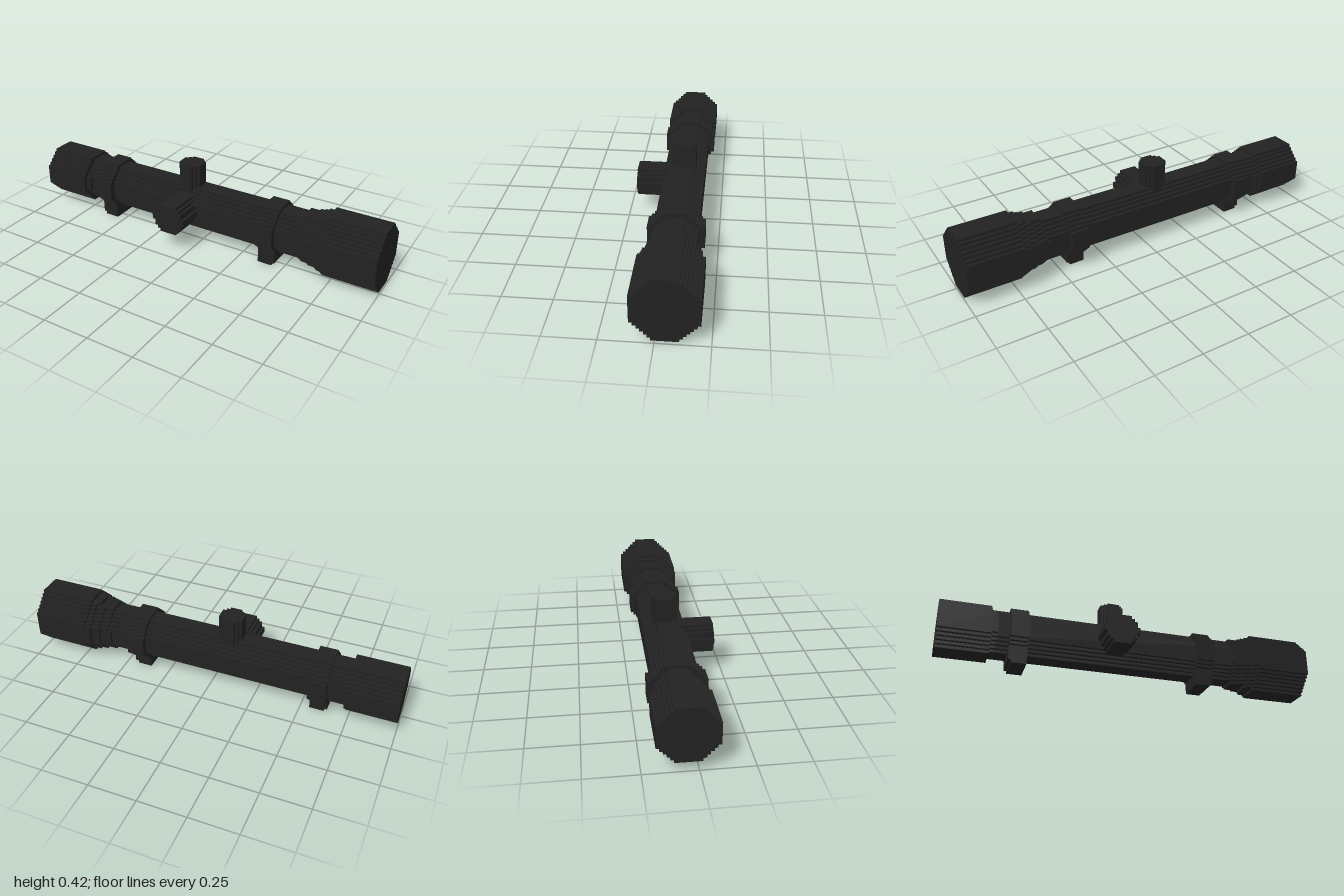
import * as THREE from 'three';

const U = 1 / 64; // one block of the stepped grid
const AXIS_Y = 11.5, AXIS_Z = -3; // tube axis, in blocks

// Corners of a stepped octagon quadrant, from top to side
function octagon(hw, hh, steps) {
  return Array.from({ length: steps + 1 }, (_, i) => [hw - steps + i, hh - i]);
}

// Mirror the quadrant corners into a closed staircase outline
function steppedShape(corners) {
  const q = [];
  for (let i = corners.length - 1; i >= 0; i--) {
    const [x, y] = corners[i];
    q.push([x, y]);
    if (i > 0) q.push([corners[i - 1][0], y]);
  }
  const r = [...q].reverse();
  const pts = [
    ...q,
    ...r.map(([x, y]) => [-x, y]),
    ...q.map(([x, y]) => [-x, -y]),
    ...r.map(([x, y]) => [x, -y]),
  ];
  return new THREE.Shape(pts.map(([x, y]) => new THREE.Vector2(x, y)));
}

function prism(corners, from, to) {
  const g = new THREE.ExtrudeGeometry(steppedShape(corners), { depth: to - from, bevelEnabled: false });
  return g.translate(0, 0, from);
}

export function createModel() {
  const black = new THREE.MeshStandardMaterial({ color: 0x222222 });
  black.name = 'matte black';
  const scope = new THREE.Group();
  scope.name = 'scope';
  scope.scale.setScalar(U);

  function add(name, geometry) {
    const mesh = new THREE.Mesh(geometry, black);
    mesh.name = name;
    scope.add(mesh);
  }

  // Sections along the tube: name, x start, x end, half width, half height, corner steps
  const sections = [
    ['eyepiece', -64, -47, 9, 8.5, 5],
    ['eyepieceCollar', -47, -45, 8, 7.5, 5],
    ['mainTube', -45, 36, 7, 7.5, 4],
    ['rearRing', -41, -35, 9, 8.5, 5],
    ['frontRing', 23, 29, 9, 8.5, 5],
    ['bellTaper1', 36, 37, 8, 7.5, 5],
    ['bellTaper2', 37, 40, 8, 8.5, 5],
    ['bellTaper3', 40, 42, 9, 8.5, 5],
    ['bellTaper4', 42, 43, 9, 9.5, 6],
    ['bellTaper5', 43, 45, 10, 9.5, 6],
    ['objectiveBell', 45, 64, 10, 10.5, 6],
  ];
  for (const [name, x0, x1, hw, hh, steps] of sections) {
    add(name, prism(octagon(hw, hh, steps), x0, x1).rotateY(Math.PI / 2).translate(0, AXIS_Y, AXIS_Z));
  }

  // Mounting feet below the rings: upper block and narrower sole
  for (const [name, x0, x1, s0, s1] of [['rearFoot', -41, -35, -40, -35], ['frontFoot', 23, 29, 23, 28]]) {
    add(name, new THREE.BoxGeometry(x1 - x0, 4, 10).translate((x0 + x1) / 2, 3, -2));
    add(name + 'Sole', new THREE.BoxGeometry(s1 - s0, 1, 10).translate((s0 + s1) / 2, 0.5, -2));
  }

  // Adjustment knobs on the top and the front side
  add('topKnob', prism(octagon(4, 4, 2), 16, 27).rotateX(-Math.PI / 2).translate(-6, 0, AXIS_Z));
  add('sideKnob', prism([[3, 5], [4, 4], [5, 3], [6, 1]], 1, 13).translate(-6, 12, 0));

  const model = new THREE.Group();
  model.name = 'model';
  model.add(scope);
  return model;
}
